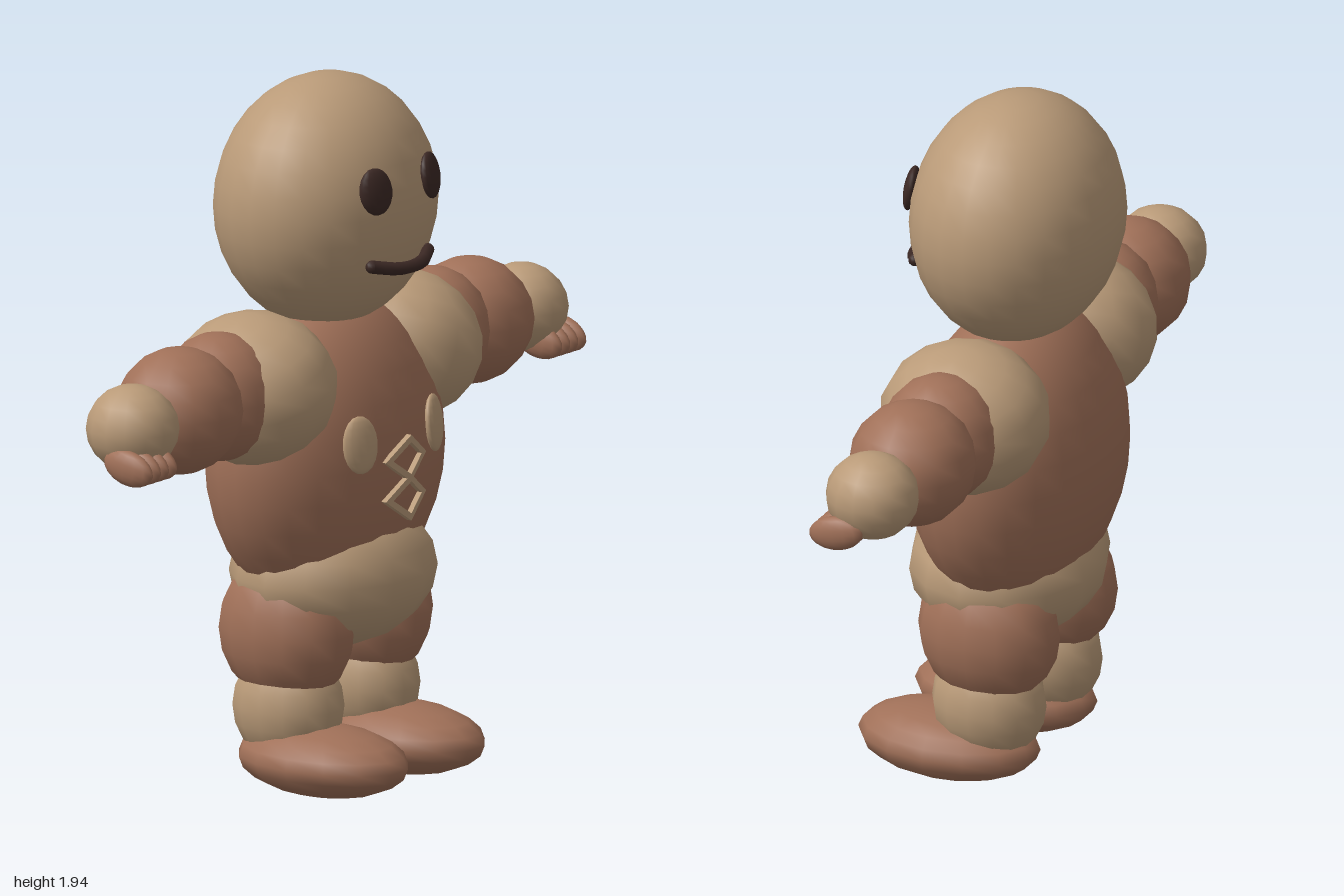
import * as THREE from 'three';

const mat = (name, color) => {
  const m = new THREE.MeshStandardMaterial({ color });
  m.name = name;
  return m;
};

export function createModel() {
  const tan = mat('tan', 0xb99a78);
  const brown = mat('brown', 0xa07058);
  const dark = mat('darkBrown', 0x3b2824);

  const model = new THREE.Group();
  model.name = 'figure';
  const fine = new THREE.SphereGeometry(1, 24, 16);
  const coarse = new THREE.SphereGeometry(1, 14, 10);

  // Every padded part is a scaled, optionally tilted ball
  function ball(name, material, pos, radii, geometry = coarse, rot = [0, 0, 0]) {
    const mesh = new THREE.Mesh(geometry, material);
    mesh.name = name;
    mesh.position.set(...pos);
    mesh.scale.set(...radii);
    mesh.rotation.set(...rot);
    model.add(mesh);
    return mesh;
  }

  // Head, torso and hips
  ball('head', tan, [0, 1.6, -0.05], [0.34, 0.345, 0.28], fine);
  ball('torso', brown, [0, 0.91, -0.053], [0.403, 0.43, 0.268], fine);
  ball('hips', tan, [0, 0.59, -0.025], [0.31, 0.21, 0.262], coarse);

  for (const [side, s] of [['left', 1], ['right', -1]]) {
    // Arm
    ball(side + 'Shoulder', tan, [s * 0.325, 1.14, -0.052], [0.222, 0.205, 0.235], coarse, [0, 0, -s * 0.35]);
    ball(side + 'UpperArm', brown, [s * 0.475, 1.145, -0.055], [0.165, 0.175, 0.165]);
    ball(side + 'Forearm', brown, [s * 0.65, 1.14, -0.055], [0.18, 0.172, 0.172]);
    ball(side + 'Hand', tan, [s * 0.872, 1.135, -0.045], [0.122, 0.12, 0.128]);
    for (let i = 0; i < 4; i++) {
      ball(side + 'Finger' + (i + 1), brown, [s * (0.863 + i * 0.036), 1.052, 0.015],
        [0.028, 0.048, 0.08], coarse, [0.2, 0, 0]);
    }

    // Leg
    ball(side + 'Thigh', brown, [s * 0.175, 0.45, -0.05], [0.153, 0.205, 0.2]);
    ball(side + 'Calf', tan, [s * 0.17, 0.24, -0.048], [0.134, 0.165, 0.16]);
    ball(side + 'Foot', brown, [s * 0.172, 0.105, 0.07], [0.17, 0.097, 0.26]);

    // Eye and chest button, set flush with the curved surface
    ball(side + 'Eye', dark, [s * 0.122, 1.677, 0.208], [0.054, 0.064, 0.02], coarse, [-0.16, s * 0.28, 0]);
    ball(side + 'Button', tan, [s * 0.165, 0.985, 0.188], [0.057, 0.079, 0.018], coarse, [-0.1, s * 0.32, 0]);
  }

  // Mouth
  const smile = new THREE.CatmullRomCurve3([
    new THREE.Vector3(-0.125, 1.469, 0.197),
    new THREE.Vector3(-0.05, 1.455, 0.232),
    new THREE.Vector3(0.05, 1.455, 0.232),
    new THREE.Vector3(0.125, 1.469, 0.197),
  ]);
  const mouth = new THREE.Group();
  mouth.name = 'mouth';
  const lip = new THREE.Mesh(new THREE.TubeGeometry(smile, 8, 0.018, 8), dark);
  lip.name = 'lip';
  mouth.add(lip);
  for (const x of [-0.125, 0.125]) {
    const end = new THREE.Mesh(new THREE.SphereGeometry(0.018, 8, 6), dark);
    end.name = 'lipEnd';
    end.position.set(x, 1.469, 0.197);
    mouth.add(end);
  }
  model.add(mouth);

  // Two open diamonds on the chest, bent back towards the sides
  const diamond = (w, h) => [[w, 0], [0, h], [-w, 0], [0, -h]].map(([x, y]) => new THREE.Vector2(x, y));
  const shape = new THREE.Shape(diamond(0.09, 0.064));
  shape.holes.push(new THREE.Path(diamond(0.063, 0.044)));
  const frame = new THREE.ExtrudeGeometry(shape, { depth: 0.016, bevelEnabled: false });
  const p = frame.attributes.position;
  for (let i = 0; i < p.count; i++) p.setZ(i, p.getZ(i) - Math.abs(p.getX(i)) * 0.2);
  frame.computeVertexNormals();
  [0.925, 0.817].forEach((y, i) => {
    const mesh = new THREE.Mesh(frame, tan);
    mesh.name = 'chestDiamond' + (i + 1);
    mesh.position.set(0, y, 0.22);
    model.add(mesh);
  });

  return model;
}
